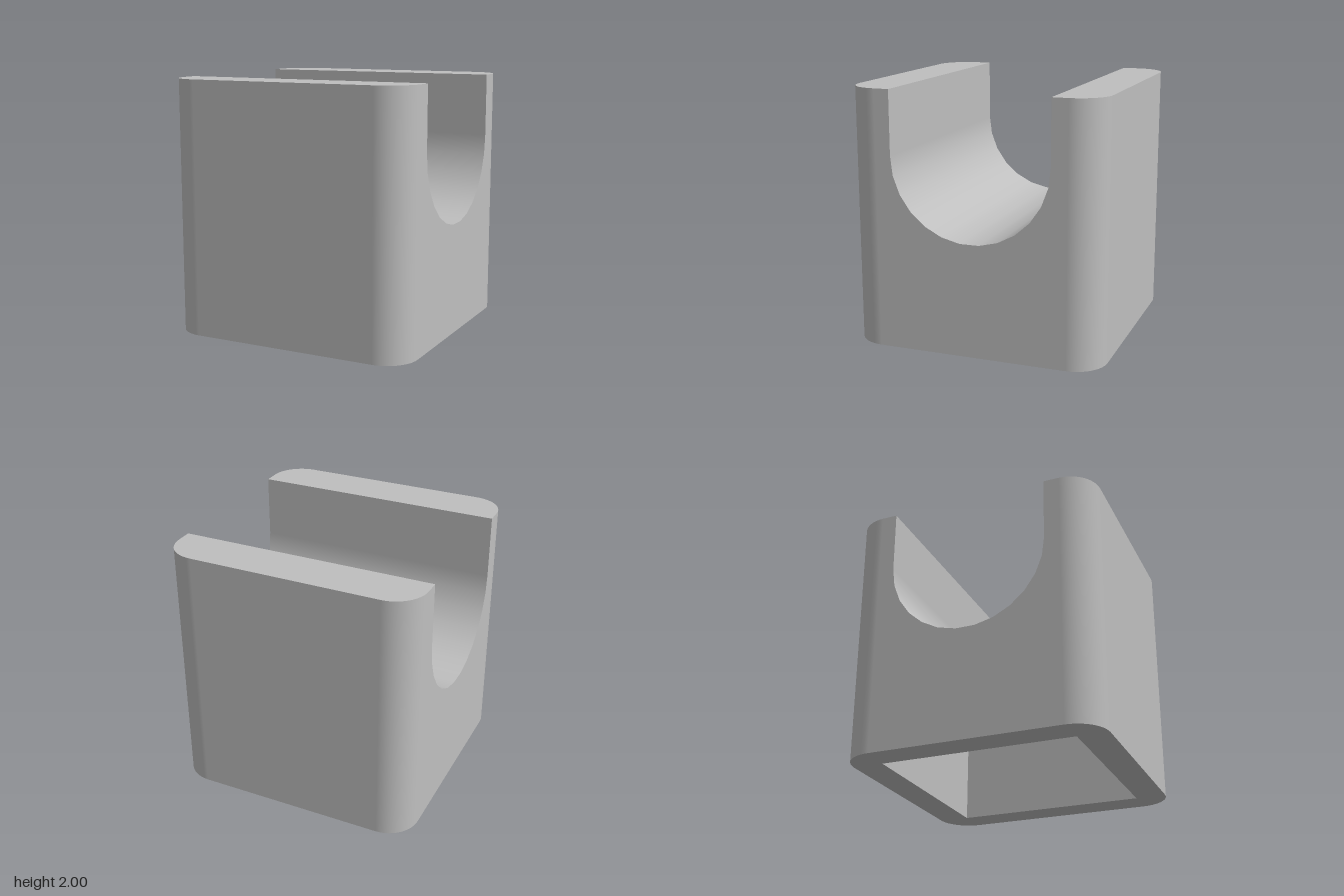
import * as THREE from 'three';

const R = 0.25;                       // outer corner radius
const CHANNEL_R = 0.627, CHANNEL_Y = 1.504;
const POCKET = 1.52, POCKET_H = 0.865;

// Smooth strip: a path of [point, normal] pairs swept along a vector
function sweep(path, vector) {
  const pos = [], nor = [], idx = [];
  path.forEach(([p, n], i) => {
    pos.push(...p.toArray(), ...p.clone().add(vector).toArray());
    nor.push(...n.toArray(), ...n.toArray());
    if (i) {
      const a = 2 * i - 2;
      idx.push(a, a + 2, a + 3, a, a + 3, a + 1);
    }
  });
  const g = new THREE.BufferGeometry();
  g.setAttribute('position', new THREE.Float32BufferAttribute(pos, 3));
  g.setAttribute('normal', new THREE.Float32BufferAttribute(nor, 3));
  g.setIndex(idx);
  return g;
}

// Front wall with both rounded corners, running from -x to +x
function wallPath() {
  const path = [];
  for (const side of [-1, 1]) {
    for (let i = 0; i <= 12; i++) {
      const a = (side < 0 ? Math.PI : Math.PI / 2) - (i / 12) * Math.PI / 2;
      const n = new THREE.Vector3(Math.cos(a), 0, Math.sin(a));
      path.push([new THREE.Vector3(side * (1 - R), 0, 1 - R).addScaledVector(n, R), n]);
    }
  }
  return path;
}

// U-shaped channel section, running from back to front
function channelPath() {
  const path = [];
  for (let i = 0; i <= 13; i++) {
    const a = Math.PI + (i / 13) * Math.PI;
    const n = new THREE.Vector3(0, -Math.sin(a), -Math.cos(a));
    path.push([new THREE.Vector3(-1, CHANNEL_Y, 0).addScaledVector(n, -CHANNEL_R), n]);
  }
  const top = ([p, n]) => [new THREE.Vector3(-1, 2, p.z), n.clone()];
  return [top(path[0]), ...path, top(path[13])];
}

const toShape = (pairs) => new THREE.Shape(pairs.map(([x, y]) => new THREE.Vector2(x, y)));

export function createModel() {
  const group = new THREE.Group();
  const grey = new THREE.MeshStandardMaterial({ color: 0xbfbfbf });
  grey.name = 'grey';
  const add = (name, geometry) => {
    const mesh = new THREE.Mesh(geometry, grey);
    mesh.name = name;
    group.add(mesh);
    return mesh;
  };

  const wall = wallPath(), channel = channelPath();
  const edge = wall.map(([p]) => [p.x, p.z]);

  // Front and back walls with the flat tops of the two rails
  const wallGeo = sweep(wall, new THREE.Vector3(0, 2, 0));
  const railTop = new THREE.ShapeGeometry(toShape([[1, CHANNEL_R], ...edge.slice().reverse(), [-1, CHANNEL_R]]));
  railTop.rotateX(-Math.PI / 2).translate(0, 2, 0);
  for (const [name, turn] of [['front', 0], ['back', Math.PI]]) {
    add(name + 'Wall', wallGeo).rotation.y = turn;
    add(name + 'RailTop', railTop).rotation.y = Math.PI - turn;
  }

  // Rounded channel through the block
  add('channel', sweep(channel, new THREE.Vector3(2, 0, 0)));

  // Side faces cut by the channel
  const flat = 1 - R;
  const sideFace = new THREE.ShapeGeometry(toShape([
    [-flat, 2], [-flat, 0], [flat, 0], [flat, 2],
    ...channel.map(([p]) => [p.z, p.y]).reverse(),
  ]));
  sideFace.translate(0, 0, 1);
  add('leftSide', sideFace).rotation.y = Math.PI / 2;
  add('rightSide', sideFace).rotation.y = -Math.PI / 2;

  // Base rim around the square pocket
  const h = POCKET / 2;
  const base = toShape([...edge, ...edge.map(([x, z]) => [-x, -z])]);
  base.holes.push(toShape([[-h, -h], [h, -h], [h, h], [-h, h]]));
  add('baseRim', new THREE.ShapeGeometry(base).rotateX(Math.PI / 2));

  // Pocket: an inward-facing box without its lower face
  const pocket = new THREE.BoxGeometry(POCKET, POCKET_H, POCKET);
  pocket.setIndex([...pocket.index.array].filter((_, i) => i < 18 || i >= 24));
  pocket.clearGroups();
  pocket.scale(-1, 1, 1).translate(0, POCKET_H / 2, 0);
  pocket.computeVertexNormals();
  add('pocket', pocket);

  return group;
}
